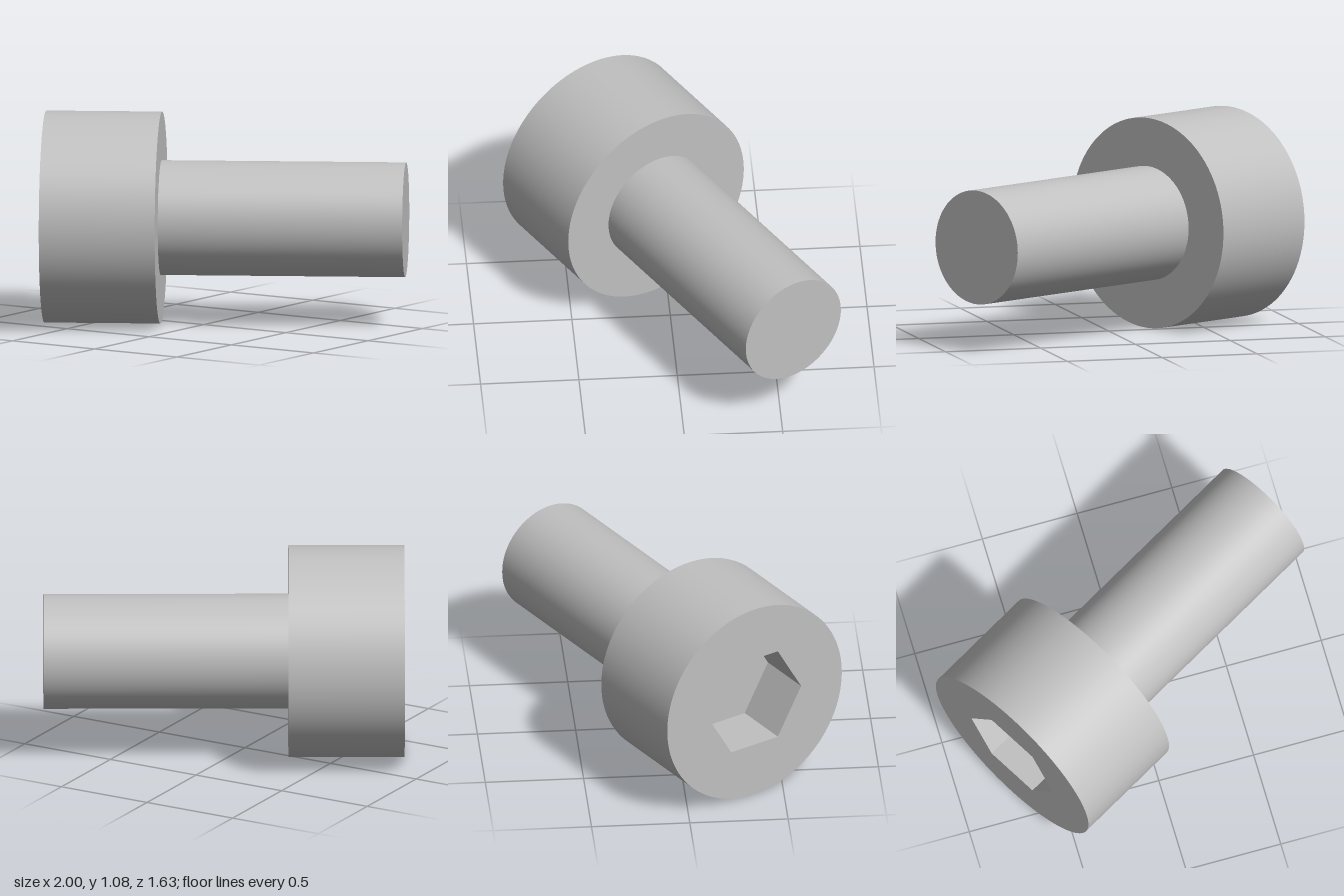
import * as THREE from 'three';

const SEG = 96;
const HEAD_R = 0.5375, HEAD_LEN = 0.589;
const SHANK_R = 0.291, SHANK_LEN = 1.242;
const HEX_R = 0.287, HEX_DEPTH = 0.296;

export function createModel() {
  const steel = new THREE.MeshStandardMaterial({ color: 0xc0c0c0 });
  steel.name = 'steel grey';

  // The bolt lies along local z, with the outer face of the head at z = 0
  const bolt = new THREE.Group();
  bolt.name = 'socketHeadBolt';

  const add = (name, geometry) => {
    const mesh = new THREE.Mesh(geometry, steel);
    mesh.name = name;
    bolt.add(mesh);
  };

  // Open tube from z = front back to z = front - length
  const tube = (radius, length, front, sides = SEG) =>
    new THREE.CylinderGeometry(radius, radius, length, sides, 1, true, Math.PI / 2)
      .rotateX(Math.PI / 2)
      .translate(0, 0, front - length / 2);

  // Head: outer face with a hexagonal opening, side and shoulder
  const face = new THREE.Shape().absarc(0, 0, HEAD_R, 0, Math.PI * 2, false);
  const corners = [];
  for (let i = 0; i < 6; i++) {
    const a = -i * Math.PI / 3;
    corners.push(new THREE.Vector2(HEX_R * Math.cos(a), HEX_R * Math.sin(a)));
  }
  face.holes.push(new THREE.Path(corners));
  add('headFace', new THREE.ShapeGeometry(face, SEG));
  add('headSide', tube(HEAD_R, HEAD_LEN, 0));
  add('headShoulder', new THREE.RingGeometry(SHANK_R, HEAD_R, SEG)
    .rotateY(Math.PI).translate(0, 0, -HEAD_LEN));

  // Hex socket: flat walls facing inward (mirrored to turn the faces), and floor
  const source = tube(HEX_R, HEX_DEPTH, 0, 6).toNonIndexed();
  const p = source.attributes.position;
  for (let i = 0; i < p.count; i++) p.setX(i, -p.getX(i));
  source.computeVertexNormals();
  add('socketWalls', source);
  add('socketFloor', new THREE.CircleGeometry(HEX_R, 6).translate(0, 0, -HEX_DEPTH));

  // Plain shank with a flat end
  add('shankSide', tube(SHANK_R, SHANK_LEN, -HEAD_LEN));
  add('shankEnd', new THREE.CircleGeometry(SHANK_R, SEG)
    .rotateY(Math.PI).translate(0, 0, -HEAD_LEN - SHANK_LEN));

  // Lay the bolt diagonally, head to the front
  bolt.rotation.y = -Math.PI / 3;
  bolt.position.set(-0.731, HEAD_R, 0.351);

  const model = new THREE.Group();
  model.name = 'bolt';
  model.add(bolt);
  return model;
}
